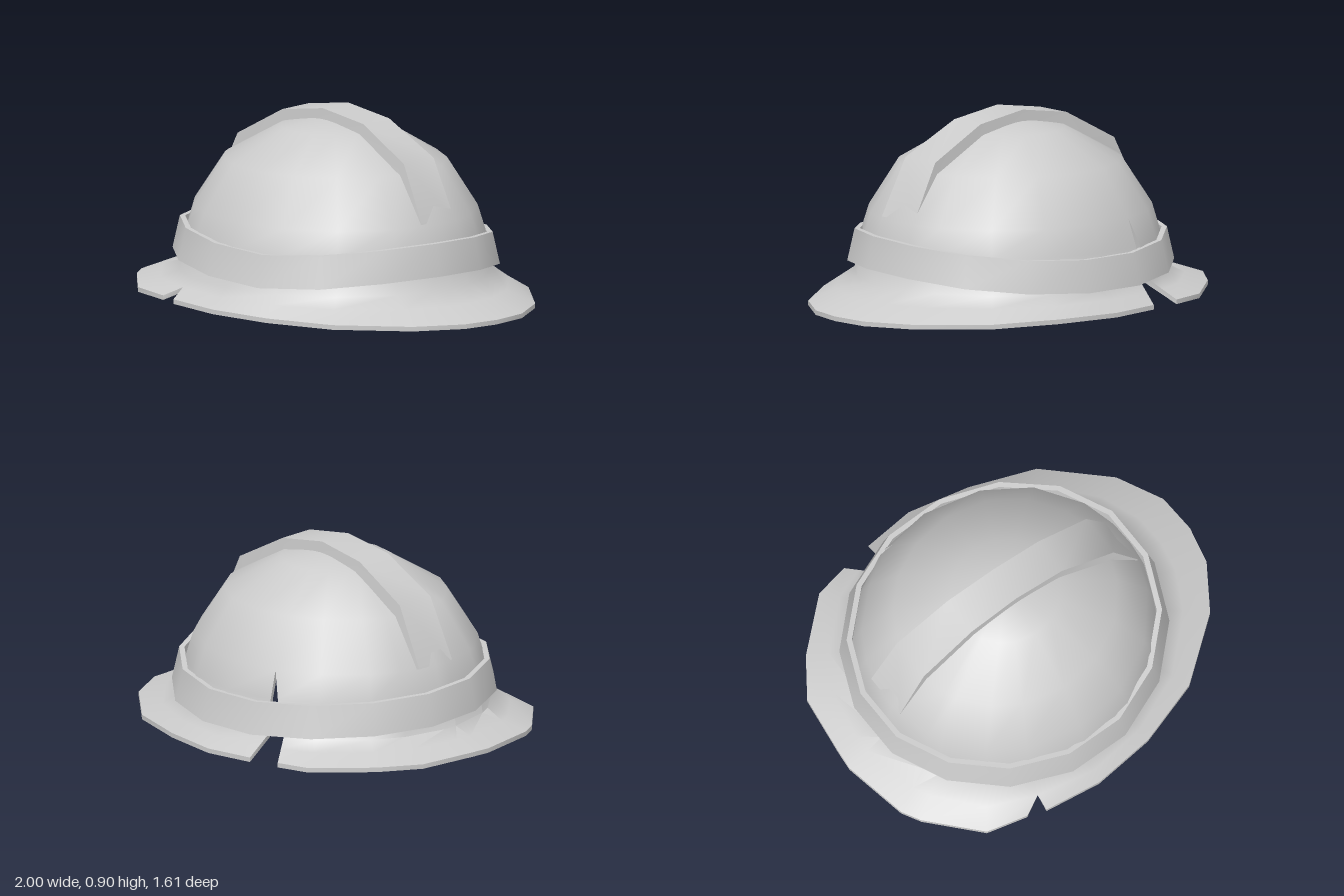
import * as THREE from 'three';
import { mergeGeometries, toCreasedNormals } from 'three/addons/utils/BufferGeometryUtils.js';

const CX = -0.05;
const V = (x, y, z) => new THREE.Vector3(x, y, z);
const ring = (rx, rz, y, t, cz = 0) => V(CX + rx * Math.cos(t), y, cz + rz * Math.sin(t));

// Surface through rows of points, skipping collapsed triangles
function grid(rows) {
  const pos = [];
  const tri = (a, b, c) => {
    if (new THREE.Triangle(a, b, c).getArea() < 1e-7) return;
    for (const p of [a, b, c]) pos.push(p.x, p.y, p.z);
  };
  for (let r = 0; r + 1 < rows.length; r++) {
    for (let c = 0; c + 1 < rows[r].length; c++) {
      const a = rows[r][c], b = rows[r][c + 1], d = rows[r + 1][c], e = rows[r + 1][c + 1];
      tri(a, d, b);
      tri(b, d, e);
    }
  }
  const g = new THREE.BufferGeometry();
  g.setAttribute('position', new THREE.Float32BufferAttribute(pos, 3));
  g.computeVertexNormals();
  return g;
}

// Brim outline (x, z) on either side of the two notches
const BRIM_LEFT = [[-0.25, -0.79], [0, -0.81], [0.3, -0.74], [0.61, -0.62], [0.88, -0.36], [0.99, -0.14],
  [1, 0.05], [0.96, 0.23], [0.82, 0.44], [0.52, 0.67], [0.2, 0.77], [-0.11, 0.8], [-0.39, 0.76]];
const BRIM_RIGHT = [[-0.48, 0.73], [-0.68, 0.68], [-0.89, 0.45], [-0.94, 0.36], [-1, 0.04], [-0.99, -0.06],
  [-0.95, -0.35], [-0.82, -0.53], [-0.58, -0.74], [-0.41, -0.77]];

// Dome levels: x radius, z radius, height, rear slit opening
const OUTER = [[0.75, 0.715, 0.13, 0.75], [0.725, 0.685, 0.3, 0.35], [0.69, 0.64, 0.43, 0],
  [0.54, 0.505, 0.655, 0], [0.265, 0.255, 0.808, 0], [0, 0, 0.87, 0]];
const INNER = OUTER.map(([rx, rz, y, open], i) =>
  [Math.max(0, rx - 0.025), Math.max(0, rz - 0.025), y - [0.015, 0, 0.01, 0.02, 0.025, 0.025][i], open]);

const FRONT_MEET = THREE.MathUtils.degToRad(117);
const BACK_MEET = THREE.MathUtils.degToRad(253.4);

// Rows of one shell half, from brim edge to crown
function shellRows(outline, levels, isRight, drop) {
  const rim = ([x, z]) => V(x, 0.036 - 0.019 * x + 0.006 * x * x - drop, z);
  const edge = outline.map(rim);
  const last = outline.length - 1;
  const rows = levels.map(([rx, rz, y, open]) => outline.map(([x, z], i) => {
    let t = Math.atan2(z, x - CX);
    if (isRight && t < 0) t += Math.PI * 2;
    if (isRight) {
      if (i === 0) t = FRONT_MEET;
      if (i === last) t = THREE.MathUtils.lerp(BACK_MEET, t, open);
    } else {
      if (i === 0) t = BACK_MEET - Math.PI * 2;
      if (i === last) t = FRONT_MEET;
    }
    return ring(rx, rz, y, t);
  }));
  // The short front notch already closes halfway up the brim
  const middle = edge.map((p, i) => {
    const from = isRight && i === 0 ? rim(BRIM_LEFT[BRIM_LEFT.length - 1]) : p;
    return from.clone().lerp(rows[0][i], 0.55);
  });
  return [edge, middle, ...rows];
}

function shellGeometries() {
  const outer = [], inner = [], edges = [];
  [BRIM_LEFT, BRIM_RIGHT].forEach((outline, side) => {
    const o = shellRows(outline, OUTER, side === 1, 0);
    const n = shellRows(outline, INNER, side === 1, 0.022);
    outer.push(grid(o));
    inner.push(grid([...n].reverse()));
    edges.push(grid([n[0], o[0]]));
    // Notch walls: the front ends at mid brim, the back at the top of the slit
    const column = (rows, i, count) => rows.slice(0, count).map((row) => row[i]);
    const last = outline.length - 1;
    const [first, final] = side === 0 ? [5, 2] : [2, 5];
    edges.push(grid([column(o, 0, first), column(n, 0, first)]));
    edges.push(grid([column(n, last, final), column(o, last, final)]));
  });
  return [
    toCreasedNormals(mergeGeometries(outer), 1.1),
    toCreasedNormals(mergeGeometries(inner), 1.1),
    toCreasedNormals(mergeGeometries(edges), 0.6),
  ];
}

// Wavy band around the foot of the dome
function bandGeometry() {
  const heights = [0.205, 0.195, 0.17, 0.157, 0.175, 0.195, 0.2, 0.185,
    0.172, 0.16, 0.145, 0.132, 0.132, 0.145, 0.168, 0.195];
  const n = heights.length;
  const section = [[0.738, 0.7, 0.01], [0.789, 0.745, 0], [0.756, 0.708, 0.152], [0.73, 0.684, 0.152], [0.728, 0.686, 0.08]];
  const rows = section.map(([rx, rz, dy]) => Array.from({ length: n + 1 }, (_, i) =>
    ring(rx, rz, heights[i % n] + dy, ((i % n) + 0.5) * Math.PI * 2 / n, -0.008)));
  return toCreasedNormals(grid(rows), 0.75);
}

// Raised ridge over the crown: x, y, back z, front z
function ridgeGeometry() {
  const stations = [[-0.73, 0.43, -0.15, 0.08], [-0.59, 0.71, -0.135, 0.08], [-0.31, 0.86, -0.115, 0.083],
    [-0.05, 0.9, -0.098, 0.09], [0.21, 0.86, -0.092, 0.1], [0.49, 0.71, -0.088, 0.13], [0.62, 0.44, -0.085, 0.15]];
  const row = (sideIndex, sink, inset) => stations.map((s) => {
    const z = s[sideIndex] + (sideIndex === 2 ? inset : -inset);
    return V(CX + (s[0] - CX) * sink, 0.3 + (s[1] - 0.3) * sink, z);
  });
  return toCreasedNormals(grid([row(2, 0.89, 0), row(2, 1, 0.005), row(3, 1, 0.003), row(3, 0.89, 0)]), 0.75);
}

export function createModel() {
  const model = new THREE.Group();
  model.name = 'helmet';
  const material = new THREE.MeshStandardMaterial({ color: 0xcccccc });
  const add = (name, geometry, parent = model) => {
    const mesh = new THREE.Mesh(geometry, material);
    mesh.name = name;
    parent.add(mesh);
  };
  const shell = new THREE.Group();
  shell.name = 'shell';
  model.add(shell);
  const [outer, inner, edges] = shellGeometries();
  add('domeAndBrim', outer, shell);
  add('lining', inner, shell);
  add('brimEdge', edges, shell);
  add('band', bandGeometry());
  add('crownRidge', ridgeGeometry());
  return model;
}
